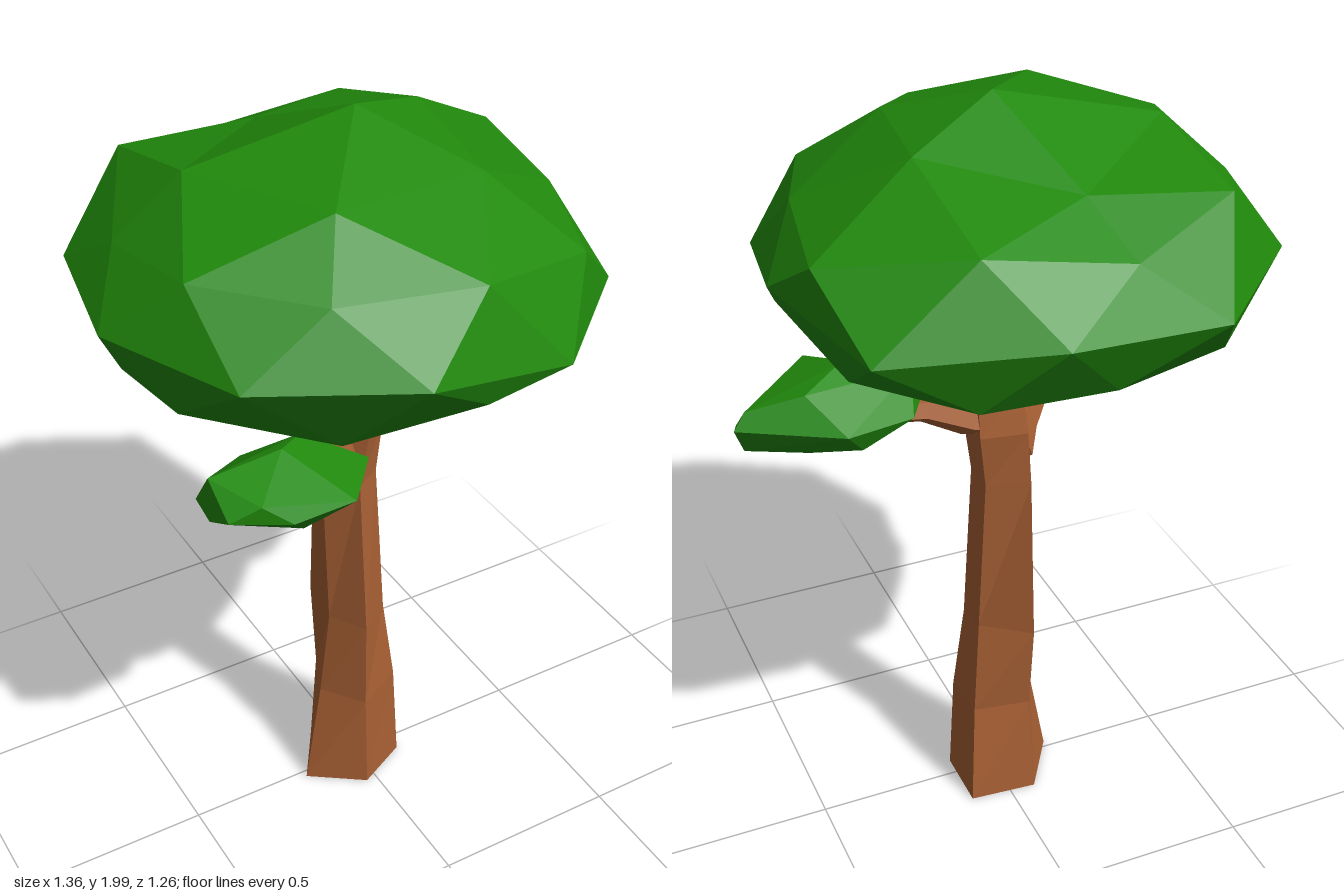
import * as THREE from 'three';
import { ConvexGeometry } from 'three/addons/geometries/ConvexGeometry.js';

const bark = new THREE.MeshStandardMaterial({ color: 0xa86034, flatShading: true });
const leaf = new THREE.MeshStandardMaterial({ color: 0x218a0c, flatShading: true });

function makeMesh(name, points, material) {
  const geometry = new THREE.BufferGeometry();
  geometry.setAttribute('position', new THREE.Float32BufferAttribute(points.flat(), 3));
  geometry.computeVertexNormals();
  const mesh = new THREE.Mesh(geometry, material);
  mesh.name = name;
  return mesh;
}

// Skin between equal rings listed from root to tip, capped at both ends
function loft(rings) {
  const out = [], n = rings[0].length, top = rings[rings.length - 1];
  for (let r = 0; r + 1 < rings.length; r++) {
    for (let i = 0; i < n; i++) {
      const j = (i + 1) % n, a = rings[r], b = rings[r + 1];
      out.push(a[i], a[j], b[j], a[i], b[j], b[i]);
    }
  }
  for (let i = 1; i < n - 1; i++) {
    out.push(rings[0][0], rings[0][i + 1], rings[0][i]);
    out.push(top[0], top[i], top[i + 1]);
  }
  return out;
}

// Tapering limb: nodes are [x, y, z, radius]
function limb(nodes, sides = 5) {
  const pts = nodes.map(n => new THREE.Vector3(n[0], n[1], n[2]));
  const rings = nodes.map((n, k) => {
    const dir = pts[Math.min(k + 1, pts.length - 1)].clone().sub(pts[Math.max(k - 1, 0)]).normalize();
    const side = new THREE.Vector3(0, 1, 0).cross(dir).normalize();
    const up = dir.clone().cross(side);
    return Array.from({ length: sides }, (_, i) => {
      const a = (i / sides) * Math.PI * 2 - Math.PI / 2;
      return pts[k].clone().addScaledVector(side, n[3] * Math.cos(a))
        .addScaledVector(up, n[3] * Math.sin(a)).toArray();
    });
  });
  return loft(rings);
}

// Small foliage: a faceted hull around its corners
function clump(name, corners) {
  const mesh = new THREE.Mesh(new ConvexGeometry(corners.map(c => new THREE.Vector3(...c))), leaf);
  mesh.name = name;
  return mesh;
}

// Rings of the faceted crown, from the top point to the underside
const crown = {
  top: [0, 2, 0],
  cap: [[0.24, 1.92, -0.12], [0.18, 1.9, 0.25], [-0.22, 1.92, 0.3], [-0.4, 1.91, -0.06], [-0.08, 1.86, -0.33]],
  shoulder: [[0.52, 1.76, -0.24], [0.45, 1.76, 0.13], [0.34, 1.74, 0.43], [0, 1.81, 0.55], [-0.31, 1.79, 0.44],
    [-0.54, 1.81, 0.23], [-0.56, 1.76, -0.1], [-0.41, 1.84, -0.39], [-0.12, 1.77, -0.51], [0.22, 1.82, -0.46]],
  rim: [[0.57, 1.65, -0.07], [0.5, 1.58, 0.32], [0.21, 1.57, 0.58], [-0.18, 1.65, 0.63], [-0.52, 1.64, 0.43],
    [-0.68, 1.65, 0.08], [-0.6, 1.64, -0.31], [-0.32, 1.62, -0.58], [0.09, 1.66, -0.63], [0.47, 1.62, -0.47]],
  skirt: [[0.44, 1.46, -0.22], [0.5, 1.51, 0.13], [0.35, 1.51, 0.42], [0, 1.53, 0.57], [-0.27, 1.42, 0.41],
    [-0.56, 1.48, 0.2], [-0.58, 1.46, -0.06], [-0.4, 1.47, -0.42], [-0.08, 1.48, -0.52], [0.24, 1.48, -0.5]],
  under: [[0.22, 1.5, 0.05], [0, 1.5, 0.27], [-0.28, 1.5, 0.1], [-0.12, 1.46, -0.24], [0.31, 1.43, -0.24]],
  bottom: [0, 1.52, 0],
};

// Triangles of the crown: rings of 1, 5, 10, 10, 10, 5 and 1 points
function crownFaces({ top, cap, shoulder, rim, skirt, under, bottom }) {
  const out = [];
  for (let i = 0; i < 5; i++) {
    const j = (i + 1) % 5, a = 2 * i, b = a + 1, c = (a + 2) % 10;
    out.push(top, cap[j], cap[i]);
    out.push(cap[i], shoulder[b], shoulder[a], cap[i], cap[j], shoulder[b], cap[j], shoulder[c], shoulder[b]);
    out.push(skirt[a], skirt[b], under[i], skirt[b], skirt[c], under[i], skirt[c], under[j], under[i]);
    out.push(under[i], under[j], bottom);
  }
  for (let i = 0; i < 10; i++) {
    const j = (i + 1) % 10;
    out.push(shoulder[i], shoulder[j], rim[i], shoulder[j], rim[j], rim[i]);
    out.push(rim[i], rim[j], skirt[j], rim[i], skirt[j], skirt[i]);
  }
  return out;
}

export function createModel() {
  const tree = new THREE.Group();
  tree.name = 'tree';

  // Five-sided trunk: height, then [x, z] corners from the front round to the right side
  const sections = [
    [0.01, [[-0.03, 0.12], [0.11, 0.05], [0.11, -0.12], [-0.07, -0.135], [-0.17, 0.02]]],
    [0.3, [[-0.03, 0.11], [0.1, 0.04], [0.09, -0.09], [-0.06, -0.115], [-0.11, 0]]],
    [0.55, [[-0.02, 0.095], [0.07, 0.03], [0.06, -0.05], [-0.06, -0.14], [-0.08, 0]]],
    [1.0, [[-0.02, 0.06], [0.05, 0.02], [0.05, -0.075], [-0.06, -0.11], [-0.09, -0.01]]],
    [1.15, [[0, 0.07], [0.07, 0.02], [0.07, -0.09], [-0.05, -0.11], [-0.08, -0.02]]],
    [1.27, [[0, 0.06], [0.08, 0.02], [0.07, -0.075], [-0.03, -0.09], [-0.07, -0.02]]],
    [1.6, [[-0.01, 0.05], [0.085, 0.01], [0.07, -0.06], [-0.04, -0.07], [-0.12, -0.03]]],
  ];
  tree.add(makeMesh('trunk', loft(sections.map(([y, ring]) => ring.map(([x, z]) => [x, y, z]))), bark));

  // Side branches
  tree.add(makeMesh('leftBranch', limb([
    [0.0, 1.18, -0.03, 0.065], [0.08, 1.195, -0.03, 0.058], [0.2, 1.24, -0.04, 0.034], [0.42, 1.265, -0.05, 0.018]]), bark));
  tree.add(makeMesh('rightBranch', limb([
    [-0.04, 1.06, -0.01, 0.065], [-0.1, 1.08, 0.08, 0.058], [-0.2, 1.105, 0.18, 0.04], [-0.29, 1.16, 0.22, 0.02]]), bark));

  // Foliage
  tree.add(makeMesh('crown', crownFaces(crown), leaf));
  tree.add(clump('leftFoliage', [
    [0.68, 1.32, -0.1], [0.45, 1.32, -0.23], [0.27, 1.3, -0.17], [0.19, 1.31, -0.04], [0.3, 1.31, 0.09],
    [0.5, 1.31, 0.12], [0.66, 1.3, -0.04], [0.65, 1.36, -0.09], [0.41, 1.42, -0.06], [0.24, 1.38, -0.08],
    [0.45, 1.37, 0.1], [0.52, 1.4, -0.14], [0.25, 1.26, -0.02], [0.5, 1.21, -0.08], [0.65, 1.24, -0.06],
    [0.42, 1.23, 0.06], [0.4, 1.25, -0.18]]));
  tree.add(clump('rightFoliage', [
    [-0.51, 1.2, 0.15], [-0.5, 1.22, 0.3], [-0.36, 1.2, 0.35], [-0.18, 1.18, 0.32], [-0.06, 1.17, 0.17],
    [-0.12, 1.16, 0.07], [-0.35, 1.21, 0.06], [-0.5, 1.285, 0.2], [-0.43, 1.26, 0.33], [-0.31, 1.3, 0.2],
    [-0.23, 1.28, 0.14], [-0.1, 1.12, 0.15], [-0.17, 1.1, 0.2], [-0.33, 1.1, 0.2], [-0.3, 1.12, 0.28],
    [-0.51, 1.18, 0.22], [-0.3, 1.13, 0.1]]));
  return tree;
}
